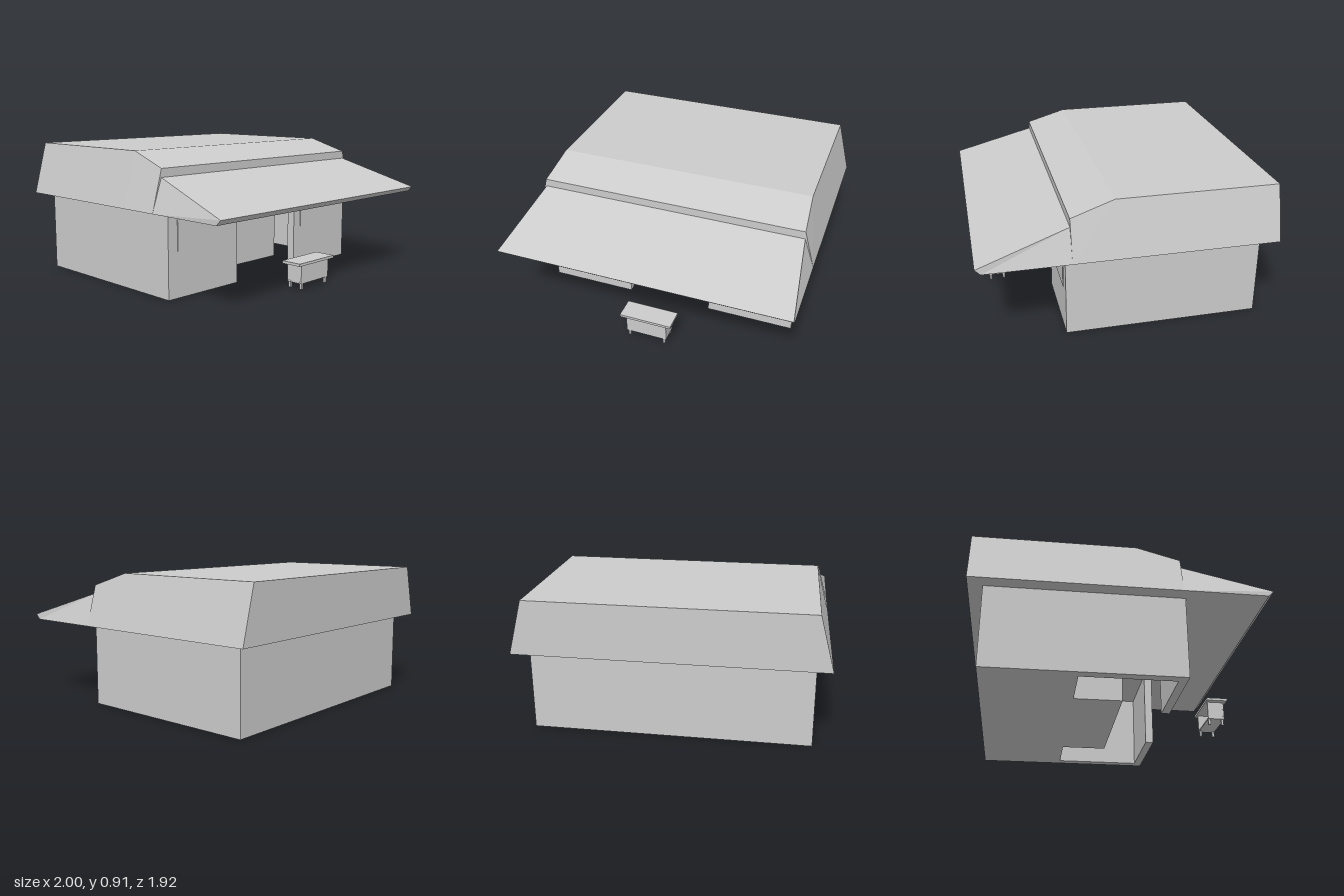
import * as THREE from 'three';

const paleGrey = new THREE.MeshStandardMaterial({ color: 0xcccccc, name: 'paleGrey' });

function box(parent, name, [x0, x1], [y0, y1], [z0, z1]) {
  const mesh = new THREE.Mesh(new THREE.BoxGeometry(x1 - x0, y1 - y0, z1 - z0), paleGrey);
  mesh.position.set((x0 + x1) / 2, (y0 + y1) / 2, (z0 + z1) / 2);
  mesh.name = name;
  parent.add(mesh);
}

// Walls: floor plan with a recessed core behind the front opening
function buildWalls() {
  const half = [[0.905, -0.865], [0.905, 0.41], [0.3, 0.41], [0.3, 0.353],
    [0.838, 0.353], [0.838, -0.26], [0.49, -0.26], [0.49, 0.06]];
  const plan = [...half, ...half.map(([x, z]) => [-x, z]).reverse()];
  const shape = new THREE.Shape(plan.map(([x, z]) => new THREE.Vector2(x, -z)));
  const geo = new THREE.ExtrudeGeometry(shape, { depth: 0.55, bevelEnabled: false });
  geo.rotateX(-Math.PI / 2);
  const mesh = new THREE.Mesh(geo, paleGrey);
  mesh.name = 'walls';
  return mesh;
}

// Roof: cross-sections from back to front, each a top edge above an eave
function buildRoof() {
  // top z, top y, top half width, eave z
  const sections = [
    [-0.96, 0.91, 0.905, -0.96],
    [0.1, 0.91, 0.905, 0.1],
    [0.38, 0.82, 0.925, 0.38],
    [0.38, 0.765, 0.927, 0.38],
    [0.96, 0.585, 1, 0.925],
  ];
  const rings = sections.map(([z, y, x, ez]) =>
    [[-1, 0.55, ez], [-x, y, z], [x, y, z], [1, 0.55, ez]]);
  const pos = [];
  const quad = (a, b, c, d) => pos.push(...a, ...b, ...c, ...a, ...c, ...d);
  for (let i = 0; i < rings.length - 1; i++) {
    const r = rings[i], s = rings[i + 1];
    for (let k = 0; k < 4; k++) {
      const n = (k + 1) % 4;
      quad(r[k], s[k], s[n], r[n]);
    }
  }
  const back = rings[0], front = rings[rings.length - 1];
  quad(back[0], back[1], back[2], back[3]);
  quad(front[3], front[2], front[1], front[0]);
  const geo = new THREE.BufferGeometry();
  geo.setAttribute('position', new THREE.Float32BufferAttribute(pos, 3));
  geo.computeVertexNormals();
  const mesh = new THREE.Mesh(geo, paleGrey);
  mesh.name = 'roof';
  return mesh;
}

// Counter: open-backed desk on four short legs
function buildCounter() {
  const g = new THREE.Group();
  g.name = 'counter';
  box(g, 'counterTop', [-0.183, 0.18], [0.165, 0.183], [0.711, 0.857]);
  box(g, 'counterFront', [-0.144, 0.142], [0.04, 0.165], [0.83, 0.84]);
  box(g, 'counterBase', [-0.144, 0.142], [0.04, 0.05], [0.724, 0.83]);
  for (const s of [-1, 1]) {
    const side = [s * 0.143, s * 0.133].sort((a, b) => a - b);
    box(g, 'counterSide', side, [0.05, 0.165], [0.724, 0.83]);
    for (const z of [0.735, 0.828]) {
      box(g, 'counterLeg', [s * 0.126 - 0.008, s * 0.126 + 0.008], [0, 0.04], [z - 0.008, z + 0.008]);
    }
  }
  return g;
}

export function createModel() {
  const model = new THREE.Group();
  model.name = 'pavilion';
  model.add(buildWalls(), buildRoof(), buildCounter());
  // Thin panels on the front wall
  box(model, 'leftPanel', [0.37, 0.83], [0.3, 0.5], [0.409, 0.415]);
  box(model, 'rightPanel', [-0.83, -0.37], [0.3, 0.5], [0.409, 0.415]);
  return model;
}
